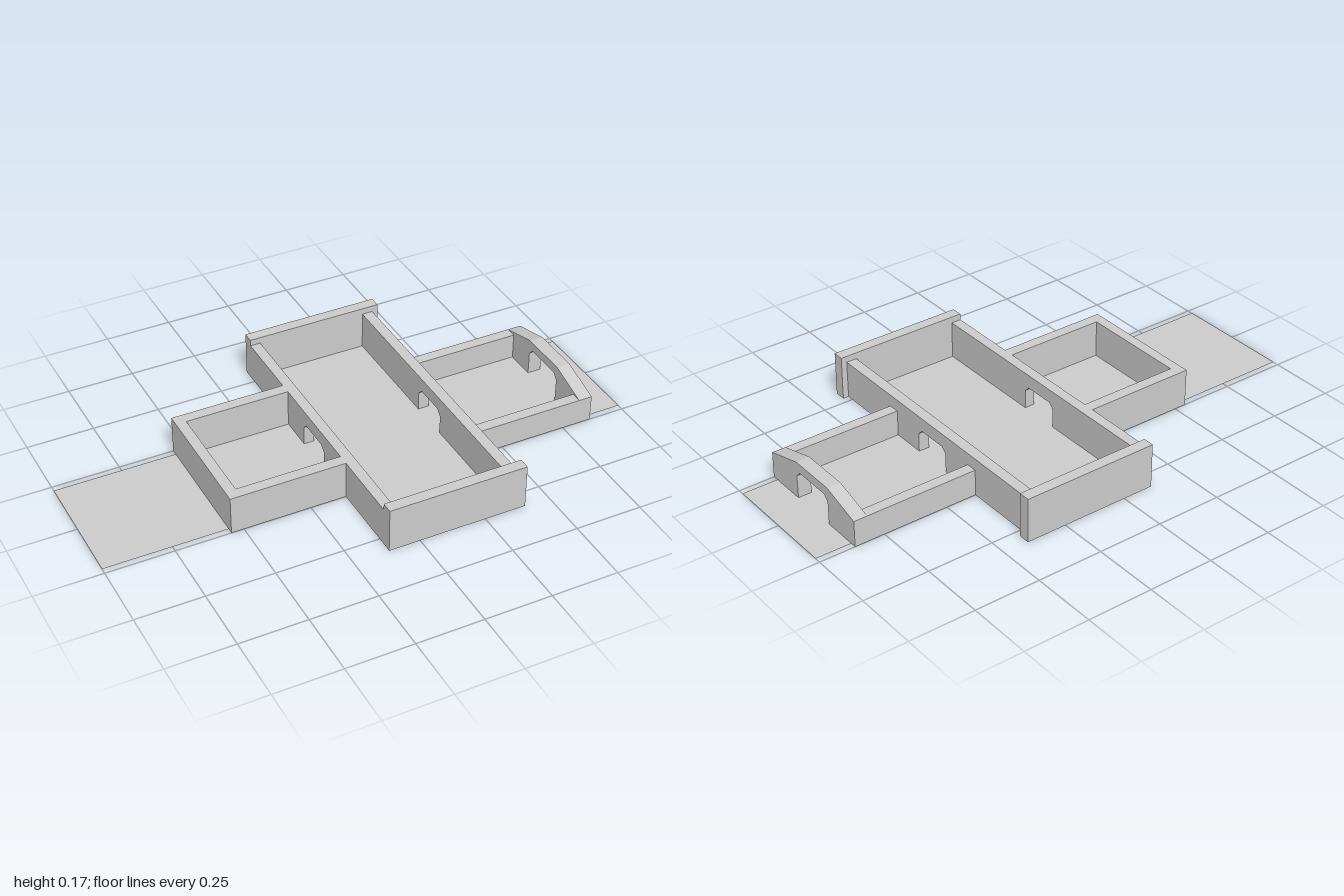
import * as THREE from 'three';

const material = new THREE.MeshStandardMaterial({ color: 0xcccccc, flatShading: true });
const floorMaterial = new THREE.MeshStandardMaterial({ color: 0xcccccc, side: THREE.DoubleSide });

export function createModel() {
  const model = new THREE.Group();
  model.name = 'floorPlan';

  const add = (name, geometry, mat = material) => {
    const mesh = new THREE.Mesh(geometry, mat);
    mesh.name = name;
    model.add(mesh);
    return mesh;
  };

  // Solid wall between two corners, standing on the ground
  const wall = (name, x0, x1, z0, z1, height) => add(name,
    new THREE.BoxGeometry(x1 - x0, height, z1 - z0)
      .translate((x0 + x1) / 2, height / 2, (z0 + z1) / 2));

  // Wall across x with a chamfered doorway; top is the outline's right half, bottom to ridge
  const doorWall = (name, x0, x1, top, doorHalf, doorHeight) => {
    const c = 0.02;
    const half = [...top, [doorHalf, 0], [doorHalf, doorHeight - c], [doorHalf - c, doorHeight]];
    const outer = half.slice(0, top.length), door = half.slice(top.length);
    const mirror = (pts) => pts.map(([z, y]) => [-z, y]);
    const outline = [
      ...outer, ...mirror(outer).reverse(),
      ...mirror(door), ...[...door].reverse(),
    ];
    const shape = new THREE.Shape(outline.map(([z, y]) => new THREE.Vector2(z, y)));
    add(name, new THREE.ExtrudeGeometry(shape, { depth: x1 - x0, bevelEnabled: false })
      .rotateY(Math.PI / 2).translate(x0, 0, 0));
  };

  // Ground strip and hall floor in one cross-shaped sheet
  const cross = [[-1, 0.228], [-0.117, 0.228], [-0.117, 0.55], [0.383, 0.55], [0.383, 0.228], [1, 0.228]];
  const plan = [...cross, ...cross.map(([x, z]) => [x, -z]).reverse()];
  add('floor', new THREE.ShapeGeometry(
    new THREE.Shape(plan.map(([x, z]) => new THREE.Vector2(x, z)))).rotateX(-Math.PI / 2), floorMaterial)
    .position.y = 0.001;

  // Long hall walls with doorways
  const hallTop = [[0.525, 0], [0.525, 0.145]];
  doorWall('hallRightWall', -0.117, -0.078, hallTop, 0.079, 0.093);
  doorWall('hallLeftWall', 0.342, 0.383, hallTop, 0.079, 0.093);

  // Side walls, mirrored front to back
  for (const [s, side] of [[1, 'Front'], [-1, 'Back']]) {
    const span = (a, b) => [Math.min(s * a, s * b), Math.max(s * a, s * b)];
    wall('hallEndWall' + side, -0.117, 0.405, ...span(0.525, 0.568), 0.169);
    wall('closedRoomWall' + side, -0.507, -0.117, ...span(0.208, 0.25), 0.145);
    wall('porchWall' + side, 0.383, 0.812, ...span(0.208, 0.25), 0.1);
  }

  // Outer end of the closed room
  wall('closedRoomEndWall', -0.546, -0.507, -0.25, 0.25, 0.145);

  // Gabled entrance wall
  doorWall('entranceWall', 0.812, 0.864, [[0.25, 0], [0.25, 0.1], [0.095, 0.145]], 0.094, 0.11);

  return model;
}
